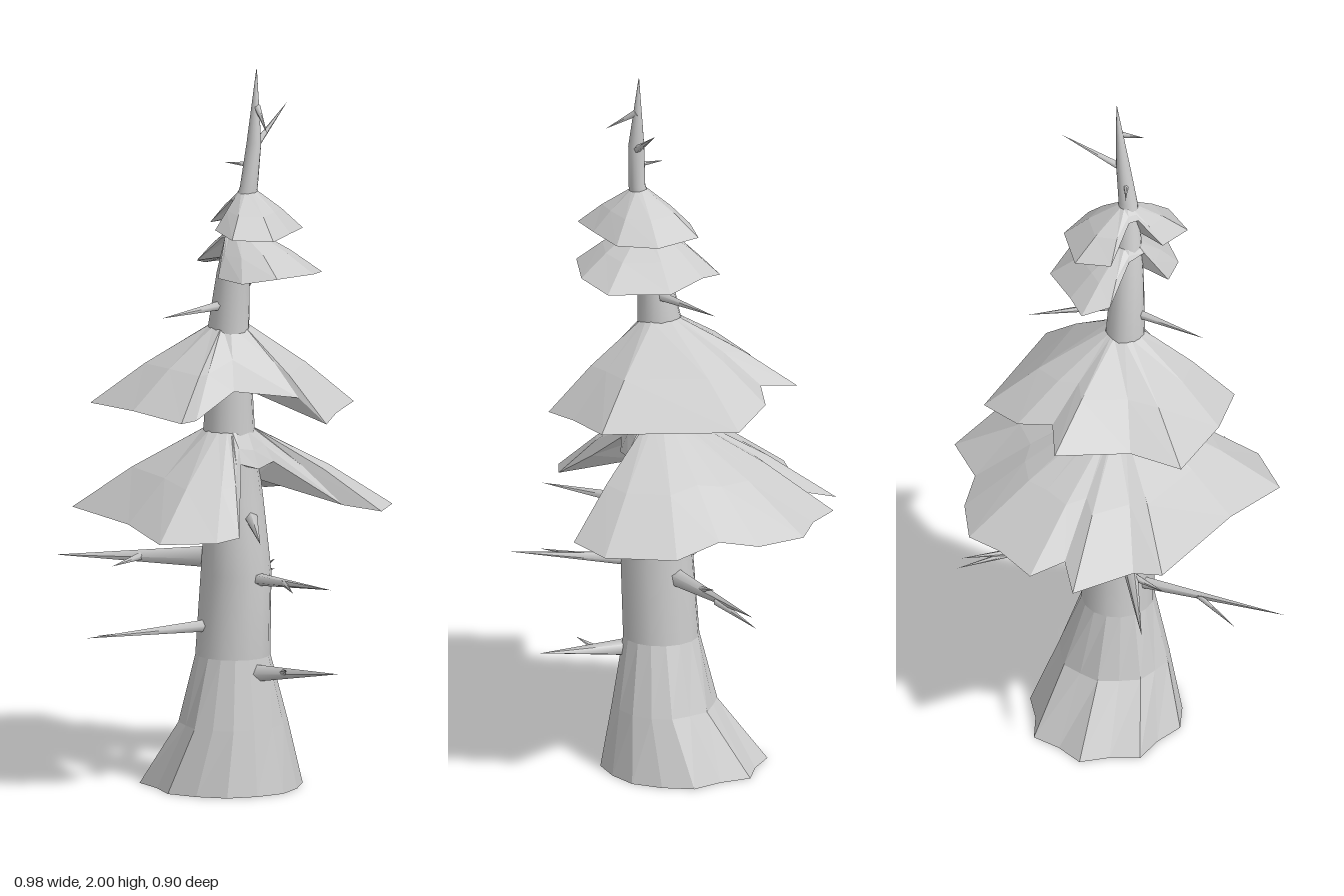
import * as THREE from 'three';

const material = new THREE.MeshStandardMaterial({ color: 0xcccccc, side: THREE.DoubleSide });
const flatMaterial = new THREE.MeshStandardMaterial({ color: 0xcccccc, side: THREE.DoubleSide, flatShading: true });

function addMesh(group, name, geometry, mat = material) {
  const mesh = new THREE.Mesh(geometry, mat);
  mesh.name = name;
  group.add(mesh);
  return mesh;
}

// Open loft through elliptical sections [y, centreX, centreZ, radiusX, radiusZ, fold];
// fold pulls every second corner of the back half inwards
function loft(sections) {
  const sides = 16, pos = [], index = [];
  sections.forEach(([y, cx, cz, rx, rz, fold = 0], row) => {
    for (let i = 0; i < sides; i++) {
      const a = (i / sides) * Math.PI * 2;
      const k = 1 - (i % 2) * fold * (Math.sin(a) > -0.2 ? 1 : 0.2);
      pos.push(cx + Math.cos(a) * rx * k, y, cz - Math.sin(a) * rz * k);
      if (row < sections.length - 1) {
        const n = (i + 1) % sides, p = row * sides;
        index.push(p + i, p + n, p + sides + n, p + i, p + sides + n, p + sides + i);
      }
    }
  });
  const g = new THREE.BufferGeometry();
  g.setAttribute('position', new THREE.Float32BufferAttribute(pos, 3));
  g.setIndex(index);
  g.computeVertexNormals();
  return g;
}

// Bough skirt: a collar round the trunk, a slightly raised middle ring, a jagged rim [x, z, y]
// and a shallow underside running back to the trunk
function skirtGeometry({ centre: [cx, cz], top, under, radius, rim }) {
  const rings = [[], [], [], []], pos = [];
  for (const [x, z, y] of rim) {
    const k = Math.min(radius / Math.hypot(x - cx, z - cz), 0.9);
    const inner = new THREE.Vector3(cx + (x - cx) * k, top, cz + (z - cz) * k);
    const outer = new THREE.Vector3(x, y, z);
    const middle = inner.clone().lerp(outer, 0.55);
    middle.y += (top - y) * 0.05;
    const below = inner.clone().setY(Math.max(under, y));
    [inner, middle, outer, below].forEach((v, r) => rings[r].push(v));
  }
  for (let r = 0; r < 3; r++) {
    for (let i = 0; i < rim.length; i++) {
      const n = (i + 1) % rim.length;
      const a = rings[r][i], b = rings[r + 1][i], c = rings[r + 1][n], d = rings[r][n];
      for (const v of [a, b, c, a, c, d]) pos.push(v.x, v.y, v.z);
    }
  }
  const g = new THREE.BufferGeometry();
  g.setAttribute('position', new THREE.Float32BufferAttribute(pos, 3));
  g.computeVertexNormals();
  return g;
}

// Bare branch: a thin spike between two points
function spike(group, name, from, to, radius) {
  const a = new THREE.Vector3(...from), b = new THREE.Vector3(...to);
  const dir = b.clone().sub(a), length = dir.length();
  const mesh = addMesh(group, name, new THREE.ConeGeometry(radius, length, 5).translate(0, length / 2, 0));
  mesh.position.copy(a);
  mesh.quaternion.setFromUnitVectors(new THREE.Vector3(0, 1, 0), dir.normalize());
}

export function createModel() {
  const tree = new THREE.Group();
  tree.name = 'tree';

  // Folded root flare, open underneath, and the smooth trunk above it
  const flareTop = [0.37, 0.015, 0.03, 0.1, 0.105];
  addMesh(tree, 'rootFlare', loft([
    [0, 0.033, -0.03, 0.215, 0.23, 0.12], [0.18, 0.025, 0.022, 0.155, 0.145, 0.06], flareTop,
  ]), flatMaterial);
  addMesh(tree, 'trunk', loft([
    flareTop, [0.6, 0.015, 0.042, 0.093, 0.1],
    [0.8, 0.012, 0.038, 0.085, 0.075], [1.0, 0, 0.03, 0.07, 0.07],
    [1.28, -0.005, 0.032, 0.053, 0.06], [1.44, -0.005, 0.05, 0.046, 0.044],
    [1.58, 0.0, 0.075, 0.035, 0.034], [1.68, 0.008, 0.096, 0.026, 0.023],
    [1.8, 0.024, 0.1, 0.018, 0.022], [2.0, 0.04, 0.095, 0.001, 0.001],
  ]));

  // Skirts from lowest to highest; rims rise to the trunk where there is a gap
  const skirts = {
    lowestSkirt: {
      centre: [0, 0.03], top: 1.0, under: 0.86, radius: 0.068,
      rim: [[0.07, 0.13, 0.91], [0.23, 0.24, 0.78], [0.31, 0.31, 0.76], [0.43, 0.24, 0.755], [0.49, 0.05, 0.76],
        [0.39, -0.08, 0.77], [0.385, -0.19, 0.75], [0.33, -0.32, 0.75], [0.23, -0.36, 0.755], [0.12, -0.43, 0.745],
        [0.04, -0.37, 0.77], [-0.01, -0.455, 0.735], [-0.15, -0.35, 0.76], [-0.23, -0.34, 0.765], [-0.33, -0.04, 0.77],
        [-0.41, 0.15, 0.75], [-0.31, 0.27, 0.755], [-0.23, 0.28, 0.76], [-0.14, 0.2, 0.84], [-0.06, 0.13, 0.92], [0, 0.14, 0.9]],
    },
    middleSkirt: {
      centre: [0, 0.03], top: 1.29, under: 1.115, radius: 0.05,
      rim: [[0.285, 0.23, 1.06], [0.345, -0.14, 1.07], [0.22, -0.23, 1.1], [0.12, -0.23, 1.12], [0.08, -0.335, 1.1],
        [-0.11, -0.25, 1.09], [-0.255, -0.25, 1.07], [-0.3, -0.05, 1.08], [-0.29, 0.12, 1.065], [-0.23, 0.12, 1.065],
        [-0.1, 0.14, 1.13], [0.03, 0.26, 1.11], [0.05, 0.345, 1.045], [0.15, 0.29, 1.055]],
    },
    upperSkirt: {
      centre: [0.0, 0.07], top: 1.56, under: 1.48, radius: 0.033,
      rim: [[0.19, 0.2, 1.43], [0.21, 0.03, 1.43], [0.12, -0.07, 1.44], [0.07, -0.125, 1.43], [0.0, -0.09, 1.45],
        [-0.02, 0.02, 1.53], [-0.05, 0.06, 1.54], [-0.11, 0.09, 1.44], [-0.11, 0.18, 1.435], [-0.05, 0.255, 1.45], [0.09, 0.26, 1.445]],
    },
    highestSkirt: {
      centre: [0.01, 0.09], top: 1.67, under: 1.595, radius: 0.022,
      rim: [[0.145, 0.17, 1.555], [0.18, 0.06, 1.555], [0.11, -0.06, 1.555], [0.01, -0.05, 1.56], [-0.01, 0.05, 1.64],
        [-0.03, 0.07, 1.64], [-0.1, 0.07, 1.57], [-0.14, 0.17, 1.56], [-0.06, 0.25, 1.555], [0.04, 0.22, 1.56]],
    },
  };
  for (const [name, skirt] of Object.entries(skirts)) addMesh(tree, name, skirtGeometry(skirt), flatMaterial);

  // Bare branches and their twigs: [from, to, radius]
  const branches = [
    [[-0.05, 0.455, 0.0], [-0.49, 0.475, -0.05], 0.018],
    [[-0.23, 0.46, -0.02], [-0.37, 0.455, -0.12], 0.009],
    [[0.01, 0.59, 0.1], [-0.04, 0.61, 0.445], 0.02],
    [[-0.01, 0.6, 0.24], [-0.09, 0.595, 0.35], 0.009],
    [[0.0, 0.33, 0.1], [0.07, 0.35, 0.37], 0.028],
    [[0.03, 0.335, 0.2], [-0.02, 0.36, 0.26], 0.012],
    [[0.06, 0.56, 0.01], [0.4, 0.55, -0.17], 0.028],
    [[0.17, 0.555, -0.05], [0.28, 0.59, -0.08], 0.012],
    [[0.26, 0.55, -0.09], [0.41, 0.52, -0.18], 0.012],
    [[-0.02, 0.64, -0.03], [-0.2, 0.615, -0.43], 0.032],
    [[-0.1, 0.63, -0.2], [-0.2, 0.61, -0.22], 0.012],
    [[0.02, 0.76, 0.09], [-0.2, 0.745, 0.33], 0.02],
    [[-0.02, 1.35, 0.04], [-0.24, 1.335, 0.0], 0.015],
    [[0.02, 1.36, 0.04], [0.235, 1.37, -0.09], 0.015],
    [[0.03, 1.79, 0.1], [0.19, 1.885, 0.07], 0.011],
    [[0.035, 1.9, 0.1], [-0.01, 1.84, 0.18], 0.01],
    [[0.015, 1.74, 0.1], [-0.01, 1.74, 0.02], 0.009],
  ];
  branches.forEach(([from, to, r], i) => spike(tree, `branch${i + 1}`, from, to, r));
  return tree;
}
